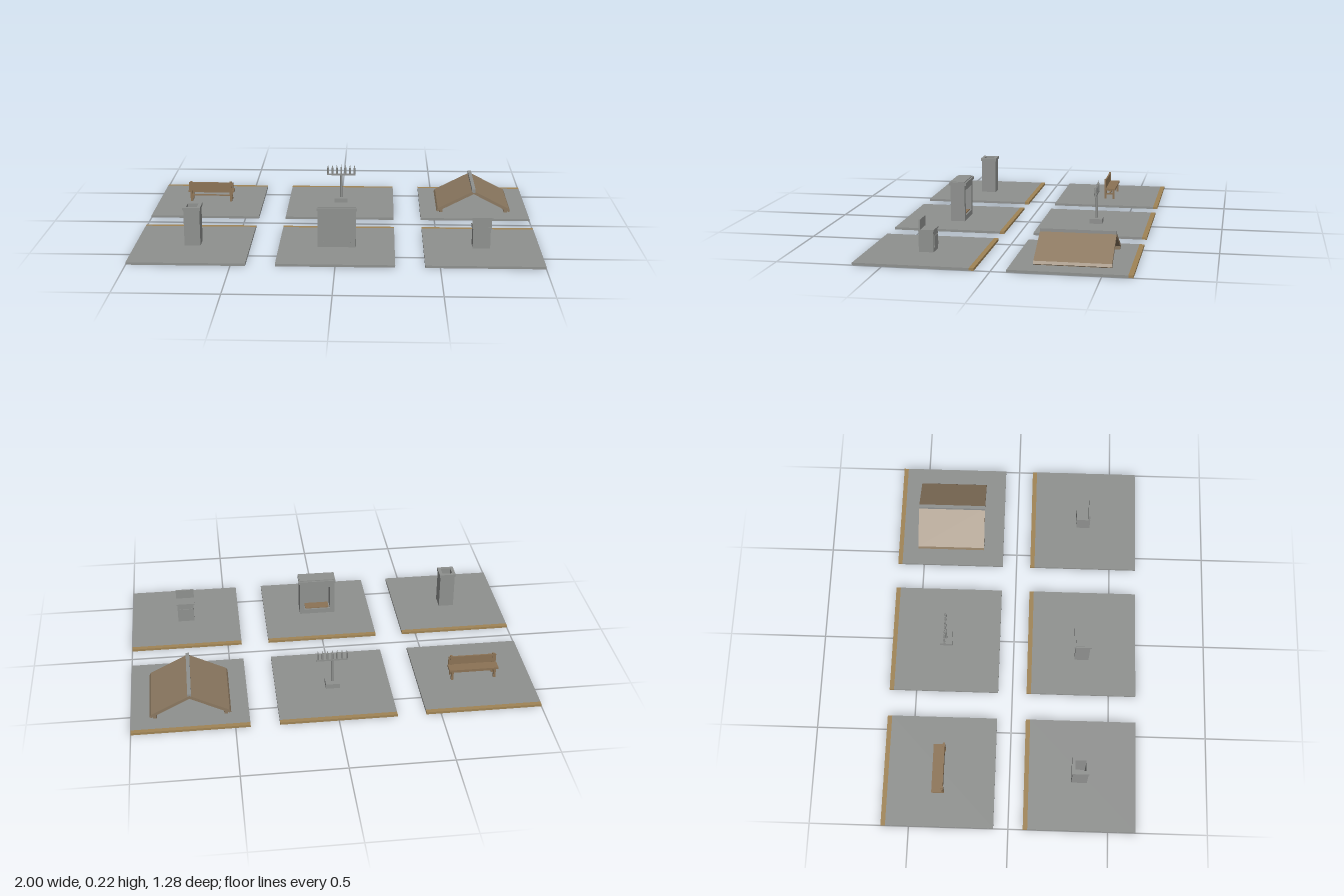
import * as THREE from 'three';

const mat = (name, color) => {
  const m = new THREE.MeshStandardMaterial({ color });
  m.name = name;
  return m;
};

export function createModel() {
  const stone = mat('grey stone', 0x8f918f);
  const wood = mat('bench wood', 0x8c7355);
  const roofWood = mat('roof boards', 0x8b7860);
  const tan = mat('tan edging', 0xa08455);
  const root = new THREE.Group();
  root.name = 'furnitureDisplay';
  const T = 0.012; // tile thickness; every piece stands on it

  const group = (name, x, z) => {
    const g = new THREE.Group();
    g.name = name;
    g.position.set(x, T, z);
    root.add(g);
    return g;
  };
  const add = (parent, name, geometry, material, x = 0, y = 0, z = 0) => {
    const m = new THREE.Mesh(geometry, material);
    m.name = name;
    m.position.set(x, y, z);
    parent.add(m);
    return m;
  };
  // box given by its ranges along each axis
  const box = (parent, name, material, x0, x1, y0, y1, z0, z1) =>
    add(parent, name, new THREE.BoxGeometry(x1 - x0, y1 - y0, z1 - z0), material,
      (x0 + x1) / 2, (y0 + y1) / 2, (z0 + z1) / 2);
  // upright square tube
  const squareTube = (parent, name, material, outer, inner, y0, y1) => {
    const square = (C, h) => new C([[-h, -h], [h, -h], [h, h], [-h, h]].map(p => new THREE.Vector2(...p)));
    const s = square(THREE.Shape, outer / 2);
    s.holes.push(square(THREE.Path, inner / 2));
    const geo = new THREE.ExtrudeGeometry(s, { depth: y1 - y0, bevelEnabled: false });
    geo.rotateX(-Math.PI / 2);
    add(parent, name, geo, material, 0, y0, 0);
  };

  // floor tiles with a tan strip along the back edge
  for (const x of [-0.714, 0, 0.714]) for (const z of [-0.357, 0.357]) {
    const g = group('floorTile', x, z);
    box(g, 'slab', stone, -0.286, 0.286, -T, 0, -0.26, 0.283);
    box(g, 'backStrip', tan, -0.286, 0.286, -T, 0, -0.283, -0.26);
  }

  // bench, seat towards the back of its tile
  const bench = group('bench', -0.714, -0.357);
  box(bench, 'seat', wood, -0.125, 0.125, 0.05, 0.06, -0.033, 0.022);
  box(bench, 'backrest', wood, -0.122, 0.122, 0.062, 0.107, 0.018, 0.026);
  box(bench, 'stretcher', wood, -0.108, 0.108, 0.025, 0.031, -0.004, 0.004);
  for (const x of [-0.108, 0.108]) {
    box(bench, 'frontLeg', wood, x - 0.006, x + 0.006, 0, 0.05, -0.029, -0.017);
    box(bench, 'backLeg', wood, x - 0.006, x + 0.006, 0, 0.112, 0.016, 0.028);
    box(bench, 'legBrace', wood, x - 0.004, x + 0.004, 0.024, 0.032, -0.02, 0.02);
  }

  // branched candle stand
  const stand = group('candleStand', 0, -0.357);
  box(stand, 'base', stone, -0.035, 0.035, 0, 0.025, -0.032, 0.032);
  add(stand, 'pole', new THREE.CylinderGeometry(0.006, 0.006, 0.13, 8), stone, 0, 0.09, 0);
  box(stand, 'crossbar', stone, -0.078, 0.078, 0.149, 0.157, -0.005, 0.005);
  for (let i = -3; i <= 3; i++) {
    add(stand, 'candle', new THREE.CylinderGeometry(0.005, 0.005, 0.033, 8), stone, i * 0.024, 0.1735, 0);
    add(stand, 'candleTip', new THREE.ConeGeometry(0.004, 0.018, 8), stone, i * 0.024, 0.199, 0);
  }

  // open gable roof with ridge cap and eave beams
  const roof = group('gableRoof', 0.712, -0.357);
  for (const s of [-1, 1]) {
    const pts = [[0, 0.119], [s * 0.19, 0.021], [s * 0.197, 0.008], [s * 0.189, 0.004], [0, 0.102]];
    const shape = new THREE.Shape(pts.map(p => new THREE.Vector2(...p)));
    const geo = new THREE.ExtrudeGeometry(shape, { depth: 0.356, bevelEnabled: false });
    add(roof, 'roofSlope', geo, roofWood, 0, 0, -0.178);
    box(roof, 'eaveBeam', roofWood, s * 0.172 - 0.009, s * 0.172 + 0.009, 0, 0.016, -0.178, 0.178);
  }
  box(roof, 'ridgeCap', stone, -0.009, 0.009, 0.108, 0.129, -0.178, 0.178);

  // hollow chimney with a slim rim
  const chimney = group('chimney', -0.714, 0.353);
  squareTube(chimney, 'shaft', stone, 0.079, 0.057, 0, 0.182);
  squareTube(chimney, 'rim', stone, 0.087, 0.053, 0.182, 0.197);

  // fireplace, hearth opening towards the back
  const fire = group('fireplace', 0, 0.357);
  box(fire, 'rearWall', stone, -0.094, 0.094, 0, 0.19, 0.027, 0.037);
  for (const s of [-1, 1])
    box(fire, 'jamb', stone, s * 0.082 - 0.012, s * 0.082 + 0.012, 0, 0.19, -0.037, 0.027);
  box(fire, 'lintel', stone, -0.07, 0.07, 0.16, 0.19, -0.037, 0.027);
  box(fire, 'hearth', stone, -0.07, 0.07, 0, 0.026, -0.037, 0.027);
  box(fire, 'hearthBoard', wood, -0.064, 0.064, 0.026, 0.03, -0.028, 0.024);
  box(fire, 'wallSeam', stone, -0.067, 0.067, 0.026, 0.03, 0.037, 0.038);
  box(fire, 'mantelShelf', stone, -0.099, 0.099, 0.189, 0.203, -0.045, 0.045);
  box(fire, 'mantelTop', stone, -0.094, 0.094, 0.203, 0.208, -0.037, 0.037);

  // cooking stove, door towards the back
  const stove = group('stove', 0.712, 0.355);
  box(stove, 'body', stone, -0.043, 0.043, 0, 0.1, -0.035, 0.036);
  box(stove, 'cooktop', stone, -0.048, 0.048, 0.1, 0.108, -0.038, 0.036);
  box(stove, 'backPanel', stone, -0.048, 0.048, 0.108, 0.157, 0.026, 0.034);
  box(stove, 'ovenDoor', stone, -0.034, 0.034, 0.022, 0.076, -0.039, -0.035);

  return root;
}
